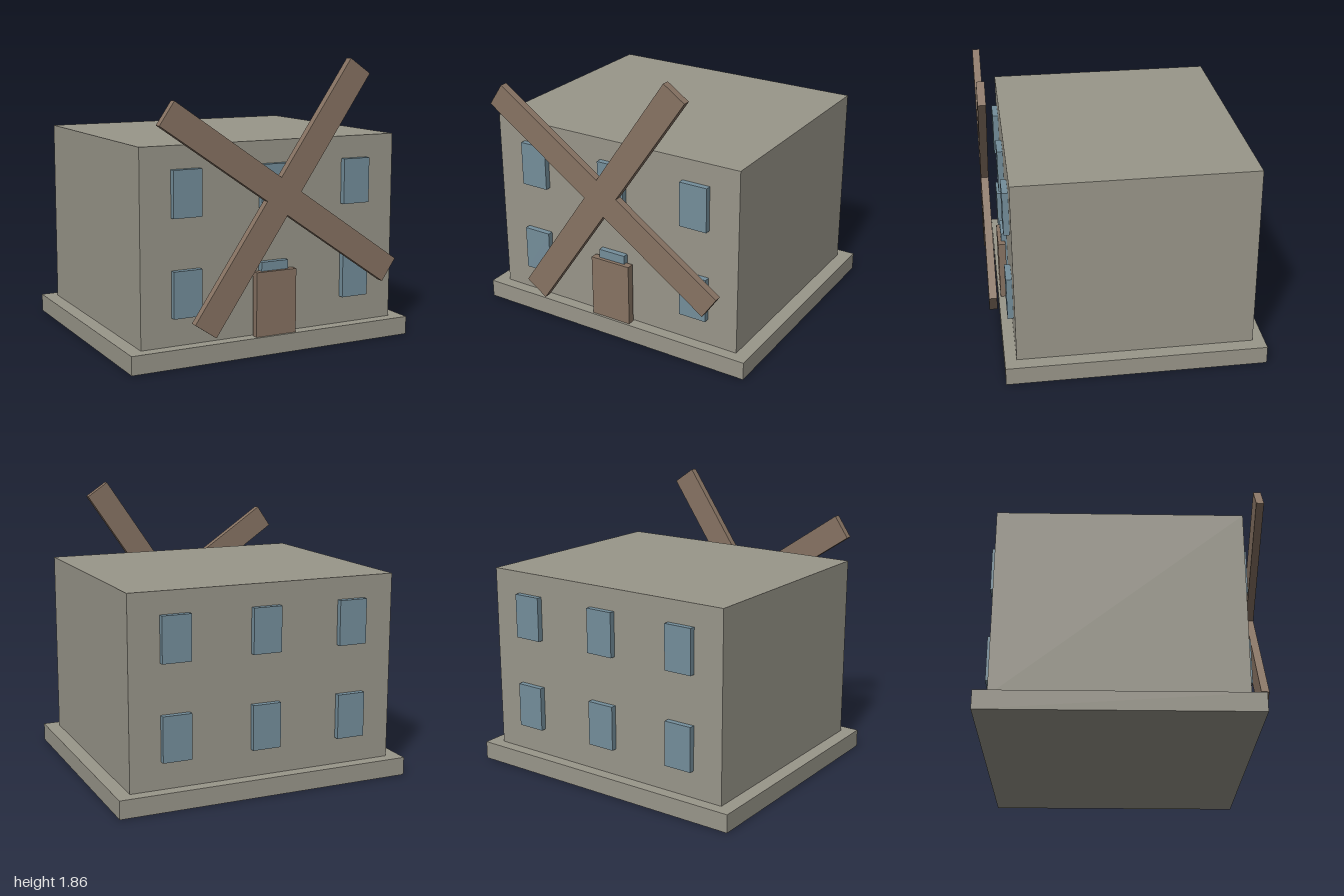
import * as THREE from 'three';

export function createModel() {
  const model = new THREE.Group();
  model.name = 'windmillHouse';

  const mat = (name, color) => {
    const m = new THREE.MeshStandardMaterial({ color });
    m.name = name;
    return m;
  };
  const stone = mat('stone', 0x99968a);
  const wood = mat('wood', 0x877363);
  const glass = mat('glass', 0x748e9b);

  // Box given by its minimum and maximum corners
  const box = (name, material, [x0, y0, z0], [x1, y1, z1]) => {
    const mesh = new THREE.Mesh(new THREE.BoxGeometry(x1 - x0, y1 - y0, z1 - z0), material);
    mesh.position.set((x0 + x1) / 2, (y0 + y1) / 2, (z0 + z1) / 2);
    mesh.name = name;
    model.add(mesh);
  };

  // Foundation slab, house body and door
  box('base', stone, [-1, 0, -0.89], [1, 0.12, 0.815]);
  box('walls', stone, [-0.907, 0.12, -0.812], [0.907, 1.36, 0.738]);
  box('door', wood, [-0.143, 0.12, 0.75], [0.143, 0.537, 0.8]);

  // Two rows of three windows on the front and the back
  for (const x of [-0.606, 0, 0.606]) {
    for (const y of [0.3, 0.92]) {
      box('frontWindow', glass, [x - 0.096, y, 0.738], [x + 0.096, y + 0.295, 0.777]);
      box('backWindow', glass, [x - 0.096, y, -0.85], [x + 0.096, y + 0.295, -0.812]);
    }
  }

  // Sails: one cross-shaped plate, outlined arm by arm
  const half = 0.0865, reach = 0.96;
  const outline = [];
  for (let i = 0; i < 4; i++) {
    for (const [x, y] of [[half, -half], [reach, -half], [reach, half]]) {
      outline.push(new THREE.Vector2(x, y).rotateAround(new THREE.Vector2(), i * Math.PI / 2));
    }
  }
  const sails = new THREE.Mesh(
    new THREE.ExtrudeGeometry(new THREE.Shape(outline), { depth: 0.05, bevelEnabled: false }),
    wood
  );
  sails.position.set(0, 1.023, 0.84);
  sails.rotation.z = THREE.MathUtils.degToRad(55.6);
  sails.name = 'sails';
  model.add(sails);

  return model;
}
